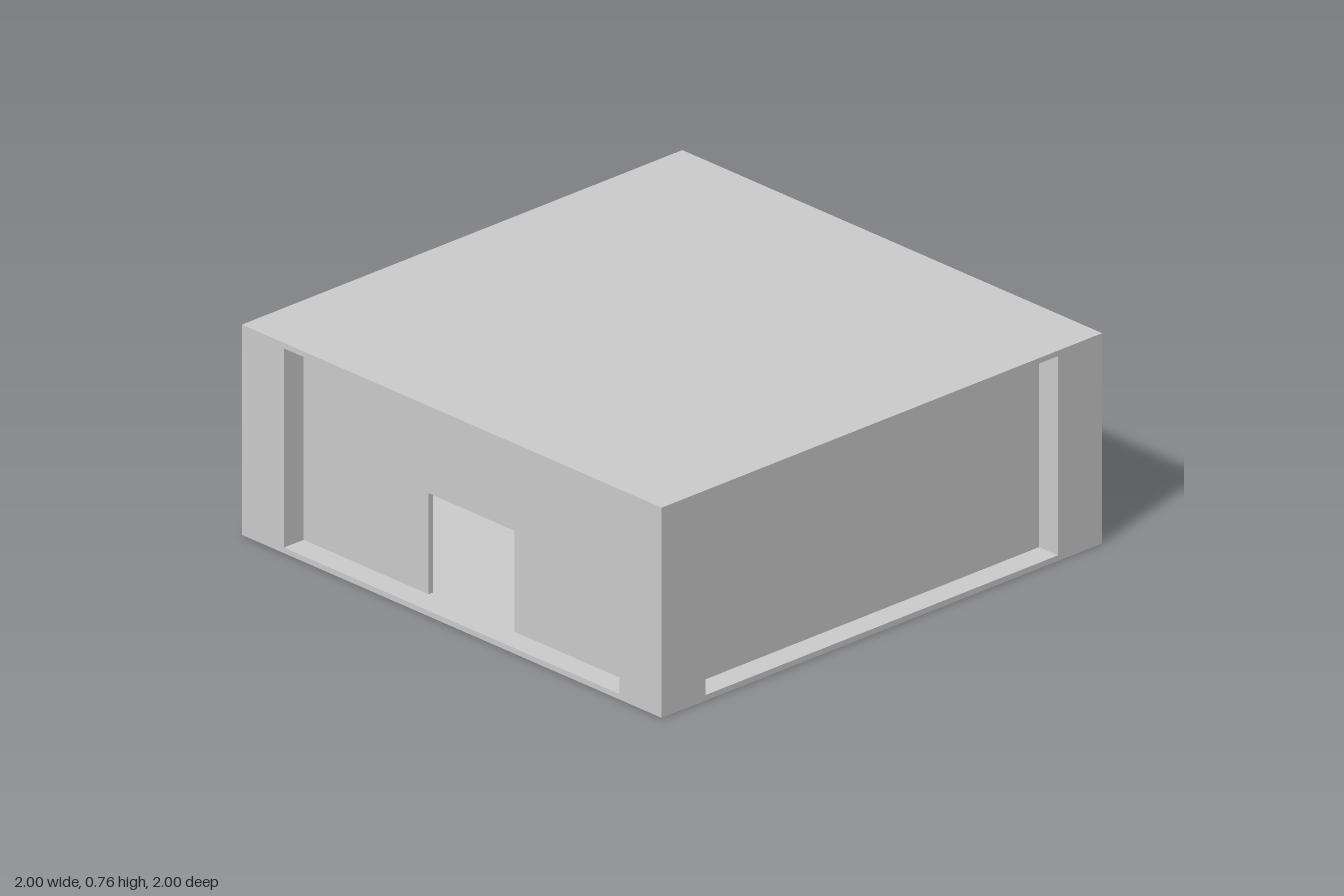
import * as THREE from 'three';

const SLAB = 0.02;        // floor and roof thickness
const HEIGHT = 0.76;      // overall height
const CLEAR = HEIGHT - 2 * SLAB;
const PILLAR = 0.2;
const WALL = 0.02;        // wall thickness
const WALL_POS = 0.9;     // wall centre line, recessed from the slab edge
const SPAN = 2 - 2 * PILLAR;
const DOOR_HALF = 0.205;
const DOOR_HEIGHT = 0.365;

const material = new THREE.MeshStandardMaterial({ color: 0xcccccc, flatShading: true });

function addBox(parent, name, size, position) {
  const mesh = new THREE.Mesh(new THREE.BoxGeometry(...size), material);
  mesh.name = name;
  mesh.position.set(...position);
  parent.add(mesh);
}

// Wall panel standing on the floor, with an optional central doorway
function wallGeometry(hasDoor) {
  const w = SPAN / 2;
  const points = [[-w, 0]];
  if (hasDoor) {
    points.push([-DOOR_HALF, 0], [-DOOR_HALF, DOOR_HEIGHT], [DOOR_HALF, DOOR_HEIGHT], [DOOR_HALF, 0]);
  }
  points.push([w, 0], [w, CLEAR], [-w, CLEAR]);
  const shape = new THREE.Shape(points.map(([x, y]) => new THREE.Vector2(x, y)));
  return new THREE.ExtrudeGeometry(shape, { depth: WALL, bevelEnabled: false })
    .translate(0, SLAB, WALL_POS - WALL / 2);
}

export function createModel() {
  const building = new THREE.Group();
  building.name = 'building';

  // Floor and flat roof
  addBox(building, 'floor', [2, SLAB, 2], [0, SLAB / 2, 0]);
  addBox(building, 'roof', [2, SLAB, 2], [0, HEIGHT - SLAB / 2, 0]);

  // Corner pillars and one central column
  const edge = 1 - PILLAR / 2;
  for (const x of [-edge, edge]) {
    for (const z of [-edge, edge]) {
      addBox(building, 'cornerPillar', [PILLAR, CLEAR, PILLAR], [x, HEIGHT / 2, z]);
    }
  }
  addBox(building, 'centralColumn', [PILLAR, CLEAR, PILLAR], [0, HEIGHT / 2, 0]);

  // Recessed walls: plain front and back, doorways on both sides
  ['frontWall', 'leftWall', 'backWall', 'rightWall'].forEach((name, i) => {
    const wall = new THREE.Mesh(wallGeometry(i % 2 === 1), material);
    wall.name = name;
    wall.rotation.y = (i * Math.PI) / 2;
    building.add(wall);
  });

  return building;
}
